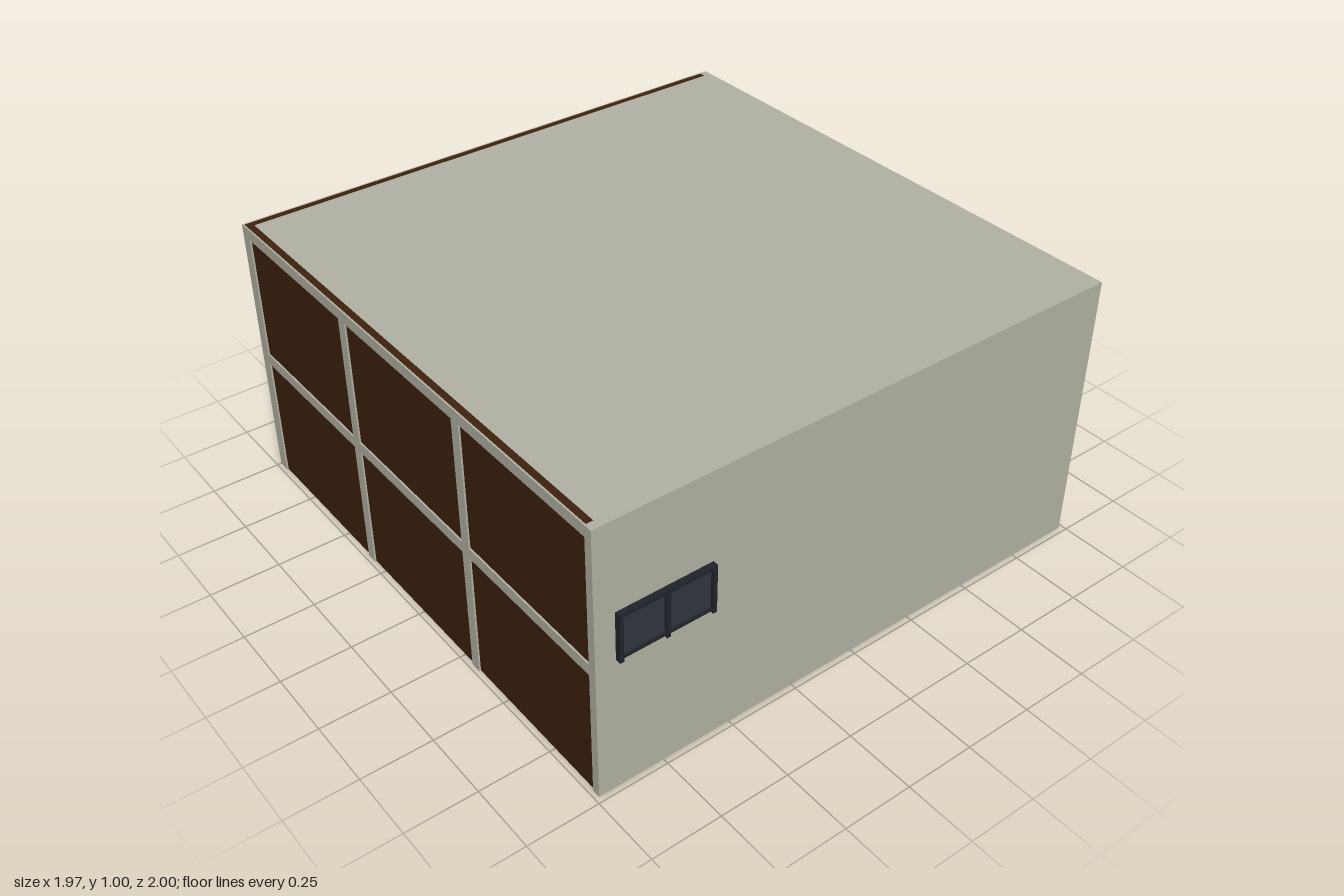
import * as THREE from 'three';

export function createModel() {
  const model = new THREE.Group();
  model.name = 'openShed';
  const mat = (name, color) => {
    const m = new THREE.MeshStandardMaterial({ color });
    m.name = name;
    return m;
  };
  const plaster = mat('grey plaster', 0xb0b0a3);
  const wood = mat('dark brown wood', 0x3d210d);
  const glass = mat('dark slate panel', 0x2e353d);
  const iron = mat('dark iron', 0x1e242b);

  // Box given by its minimum and maximum corners
  const box = (name, material, a, b, parent = model) => {
    const g = new THREE.BoxGeometry(b[0] - a[0], b[1] - a[1], b[2] - a[2]);
    const mesh = new THREE.Mesh(g, material);
    mesh.position.set((a[0] + b[0]) / 2, (a[1] + b[1]) / 2, (a[2] + b[2]) / 2);
    mesh.name = name;
    parent.add(mesh);
  };

  // Hollow shell, open underneath
  box('leftWall', plaster, [0.955, 0, -1], [0.985, 1, 0.98]);
  box('frontWall', plaster, [-0.985, 0, 0.95], [0.955, 1, 0.98]);
  box('roof', plaster, [-0.955, 0.97, -0.97], [0.955, 1, 0.95]);
  box('backWall', wood, [-0.979, 0, -0.994], [0.955, 1, -0.97]);
  box('rightWall', wood, [-0.979, 0, -0.97], [-0.955, 1, 0.95]);

  // Thin lattice on the two wooden walls: three columns by two rows
  const backLattice = new THREE.Group();
  backLattice.name = 'backLattice';
  const rightLattice = new THREE.Group();
  rightLattice.name = 'rightLattice';
  model.add(backLattice, rightLattice);
  const w = 0.02;
  for (const y of [0.485, 0.98]) {
    box('rail', plaster, [-0.985, y - w, -1], [0.955, y + w, -0.994], backLattice);
    box('rail', plaster, [-0.985, y - w, -0.994], [-0.979, y + w, 0.95], rightLattice);
  }
  for (const x of [-0.965, -0.325, 0.325]) {
    box('stile', plaster, [x - w, 0, -1], [x + w, 1, -0.994], backLattice);
  }
  for (const z of [-0.974, -0.335, 0.32]) {
    box('stile', plaster, [-0.985, 0, z - w], [-0.979, 1, z + w], rightLattice);
  }

  // Small two-panel window on the front
  const shutter = new THREE.Group();
  shutter.name = 'frontWindow';
  model.add(shutter);
  for (const [x0, x1] of [[-0.9, -0.752], [-0.74, -0.586]]) {
    box('pane', glass, [x0, 0.52, 0.98], [x1, 0.67, 0.988], shutter);
  }
  for (const x of [-0.908, -0.746, -0.582]) {
    box('post', iron, [x - 0.007, 0.505, 0.98], [x + 0.007, 0.672, 1], shutter);
  }
  box('topBar', iron, [-0.915, 0.668, 0.98], [-0.575, 0.68, 1], shutter);
  box('bottomBar', iron, [-0.911, 0.512, 0.98], [-0.579, 0.522, 0.995], shutter);

  return model;
}
